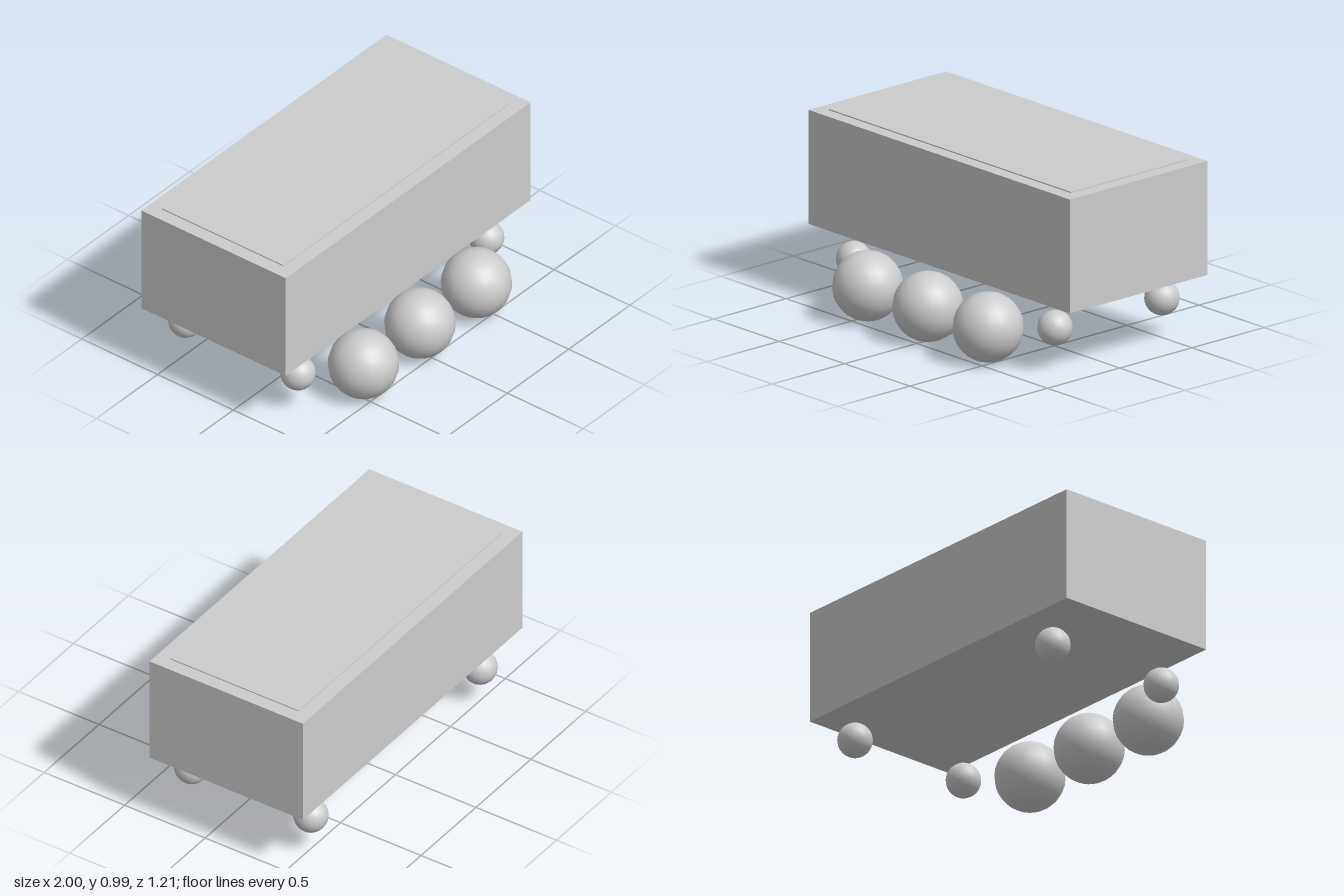
import * as THREE from 'three';

export function createModel() {
  const group = new THREE.Group();
  const grey = new THREE.MeshStandardMaterial({ color: 0xcccccc });
  grey.name = 'light grey';

  function add(name, geometry, x, y, z) {
    const mesh = new THREE.Mesh(geometry, grey);
    mesh.name = name;
    mesh.position.set(x, y, z);
    group.add(mesh);
  }

  // Main block and the thin raised panel on its top
  add('body', new THREE.BoxGeometry(2, 0.615, 0.952), 0, 0.6815, -0.131);
  add('topPanel', new THREE.BoxGeometry(1.85, 0.008, 0.8), 0, 0.991, -0.13);

  // Row of three large balls under the front edge
  const largeBall = new THREE.SphereGeometry(0.184, 20, 14);
  for (const x of [-0.461, 0, 0.461]) add('largeBall', largeBall, x, 0.188, 0.423);

  // Small ball feet near the four corners
  const smallBall = new THREE.SphereGeometry(0.092, 20, 14);
  for (const x of [-0.77, 0.77]) {
    for (const z of [0.24, -0.5]) add('ballFoot', smallBall, x, 0.22, z);
  }

  return group;
}
